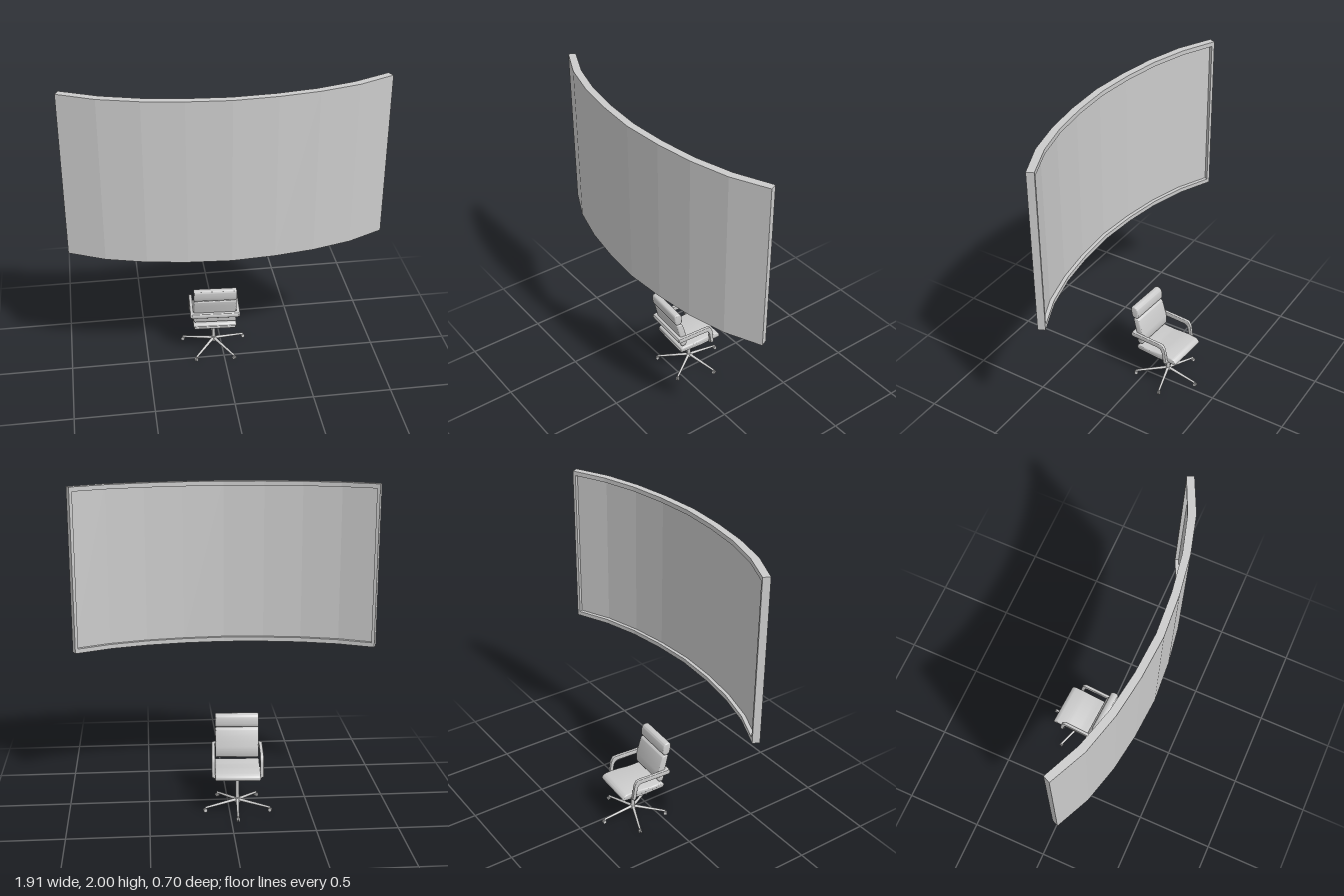
import * as THREE from 'three';
import { toCreasedNormals } from 'three/addons/utils/BufferGeometryUtils.js';

const grey = new THREE.MeshStandardMaterial({ color: 0xcccccc });
const flatGrey = new THREE.MeshStandardMaterial({ color: 0xcccccc, flatShading: true });

function add(parent, name, geometry, x = 0, y = 0, z = 0, material = grey) {
  const mesh = new THREE.Mesh(geometry, material);
  mesh.name = name;
  mesh.position.set(x, y, z);
  parent.add(mesh);
  return mesh;
}

// Half plan of the curved screen, centre to end: front x, z, then back x, z
const plan = [
  [0, 0.348, 0, 0.302], [0.26, 0.33, 0.25, 0.286], [0.5, 0.294, 0.488, 0.25],
  [0.74, 0.23, 0.718, 0.186], [0.957, 0.129, 0.938, 0.088],
];

// Point on the plan: s from -4 to 4 along the curve, t from front (0) to back (1)
function planPoint(s, t) {
  const a = Math.abs(s), i = Math.min(3, Math.floor(a));
  const p = plan[i].map((v, k) => THREE.MathUtils.lerp(v, plan[i + 1][k], a - i));
  return [Math.sign(s) * THREE.MathUtils.lerp(p[0], p[2], t), THREE.MathUtils.lerp(p[1], p[3], t)];
}

// Curved bar with a rectangular section, following the plan
function curvedBar(stations, t0, t1, y0, y1) {
  const positions = [], index = [];
  for (const s of stations) {
    for (const [t, y] of [[t0, y0], [t0, y1], [t1, y1], [t1, y0]]) {
      const [x, z] = planPoint(s, t);
      positions.push(x, y, z);
    }
  }
  const last = (stations.length - 1) * 4;
  for (let i = 0; i < last; i += 4) {
    for (let k = 0; k < 4; k++) {
      const a = i + k, b = i + (k + 1) % 4;
      index.push(a, a + 4, b + 4, a, b + 4, b);
    }
  }
  index.push(0, 1, 2, 0, 2, 3, last, last + 2, last + 1, last, last + 3, last + 2);
  const g = new THREE.BufferGeometry();
  g.setAttribute('position', new THREE.Float32BufferAttribute(positions, 3));
  g.setIndex(index);
  const flat = g.toNonIndexed();
  flat.computeVertexNormals();
  return flat;
}

function buildScreen() {
  const screen = new THREE.Group();
  screen.name = 'curvedScreen';
  const all = [-4, -3, -2, -1, 0, 1, 2, 3, 4];
  const bar = (name, ...args) => add(screen, name, curvedBar(...args), 0, 0, 0, flatGrey);
  bar('screenPanel', all, 0, 0.5, 0.97, 2);
  bar('topFrame', all, 0.5, 1, 1.972, 2);
  bar('bottomFrame', all, 0.5, 1, 0.97, 0.998);
  bar('rightFrame', [-4, -3.92], 0.5, 1, 0.998, 1.972);
  bar('leftFrame', [3.92, 4], 0.5, 1, 0.998, 1.972);
  return screen;
}

// Side profile (z, y) extruded across x with rounded edges
function sideExtrude(shape, width, bevel) {
  const depth = width - 2 * bevel;
  const g = new THREE.ExtrudeGeometry(shape, {
    depth, steps: 1, curveSegments: 8, bevelEnabled: true,
    bevelThickness: bevel, bevelSize: bevel, bevelOffset: -bevel, bevelSegments: 3,
  });
  g.translate(0, 0, -depth / 2);
  g.rotateY(-Math.PI / 2);
  return toCreasedNormals(g, 0.7);
}

// Closed profile with its corners rounded by radius r
function roundedShape(points, r) {
  const shape = new THREE.Shape();
  const v = points.map(([x, y]) => new THREE.Vector2(x, y));
  v.forEach((p, i) => {
    const toward = (q) => {
      const d = q.clone().sub(p);
      return p.clone().add(d.setLength(Math.min(r, d.length() * 0.49)));
    };
    const a = toward(v[(i + v.length - 1) % v.length]), b = toward(v[(i + 1) % v.length]);
    if (i === 0) shape.moveTo(a.x, a.y); else shape.lineTo(a.x, a.y);
    shape.quadraticCurveTo(p.x, p.y, b.x, b.y);
  });
  shape.closePath();
  return shape;
}

// Cylinder running between two points
function rod(parent, name, from, to, r0, r1, sides = 10) {
  const a = new THREE.Vector3(...from), b = new THREE.Vector3(...to);
  const mesh = add(parent, name, new THREE.CylinderGeometry(r1, r0, a.distanceTo(b), sides));
  mesh.position.copy(a).lerp(b, 0.5);
  mesh.quaternion.setFromUnitVectors(new THREE.Vector3(0, 1, 0), b.sub(a).normalize());
}

function buildChair() {
  const chair = new THREE.Group();
  chair.name = 'officeChair';

  // Upholstery: the sitter faces -z
  const cushion = (name, points, r, width, bevel) =>
    add(chair, name, sideExtrude(roundedShape(points, r), width, bevel));
  cushion('seatShell', [[0.152, 0.237], [0.158, 0.262], [-0.135, 0.258], [-0.14, 0.236], [0, 0.23]], 0.012, 0.27, 0.005);
  cushion('seatCushion', [[0.155, 0.252], [0.145, 0.278], [0.05, 0.275], [-0.05, 0.284],
    [-0.13, 0.281], [-0.153, 0.26], [-0.146, 0.235], [-0.11, 0.248]], 0.02, 0.28, 0.008);
  cushion('lowerBackCushion', [[0.148, 0.288], [0.108, 0.292], [0.107, 0.35], [0.122, 0.41],
    [0.143, 0.478], [0.186, 0.482], [0.172, 0.42], [0.154, 0.35]], 0.018, 0.275, 0.008);
  cushion('headCushion', [[0.146, 0.482], [0.144, 0.52], [0.152, 0.558], [0.174, 0.568],
    [0.201, 0.564], [0.2, 0.52], [0.19, 0.482]], 0.018, 0.275, 0.008);

  // Armrests and the strap that joins them behind the back
  const arm = roundedShape([[0.184, 0.378], [0.184, 0.346], [-0.038, 0.346], [-0.055, 0.325],
    [-0.068, 0.236], [-0.092, 0.236], [-0.077, 0.345], [-0.058, 0.378]], 0.016);
  for (const side of [-1, 1]) {
    add(chair, side < 0 ? 'rightArmrest' : 'leftArmrest', sideExtrude(arm, 0.022, 0.005), side * 0.15);
    add(chair, 'armBracket', new THREE.BoxGeometry(0.03, 0.016, 0.026), side * 0.135, 0.245, -0.078);
  }
  add(chair, 'backStrap', sideExtrude(roundedShape(
    [[0.184, 0.378], [0.184, 0.346], [0.15, 0.346], [0.15, 0.378]], 0.008), 0.3, 0.004));

  // Column and height control
  add(chair, 'seatMount', new THREE.BoxGeometry(0.065, 0.03, 0.09), 0, 0.221, 0);
  add(chair, 'upperColumn', new THREE.CylinderGeometry(0.016, 0.016, 0.03, 16), 0, 0.212, 0);
  add(chair, 'column', new THREE.CylinderGeometry(0.011, 0.012, 0.15, 16), 0, 0.13, 0);
  add(chair, 'baseHub', new THREE.CylinderGeometry(0.014, 0.019, 0.03, 16), 0, 0.055, 0);
  rod(chair, 'heightLever', [0.02, 0.215, 0], [0.07, 0.208, -0.035], 0.003, 0.003, 8);

  // Five-star base with casters
  for (let i = 0; i < 5; i++) {
    const leg = new THREE.Group();
    leg.name = 'baseLeg';
    leg.rotation.y = i * Math.PI * 2 / 5;
    rod(leg, 'legTube', [0, 0.056, -0.008], [0, 0.028, -0.212], 0.01, 0.007);
    rod(leg, 'casterStem', [0, 0.012, -0.21], [0, 0.031, -0.21], 0.005, 0.006);
    for (const side of [-1, 1]) {
      const wheel = add(leg, 'casterWheel', new THREE.CylinderGeometry(0.012, 0.012, 0.007, 14), side * 0.006, 0.012, -0.213);
      wheel.rotation.z = Math.PI / 2;
    }
    chair.add(leg);
  }

  chair.position.set(-0.053, 0, -0.13);
  chair.rotation.y = -0.06;
  return chair;
}

export function createModel() {
  const model = new THREE.Group();
  model.name = 'curvedScreenAndChair';
  model.add(buildScreen(), buildChair());
  return model;
}
